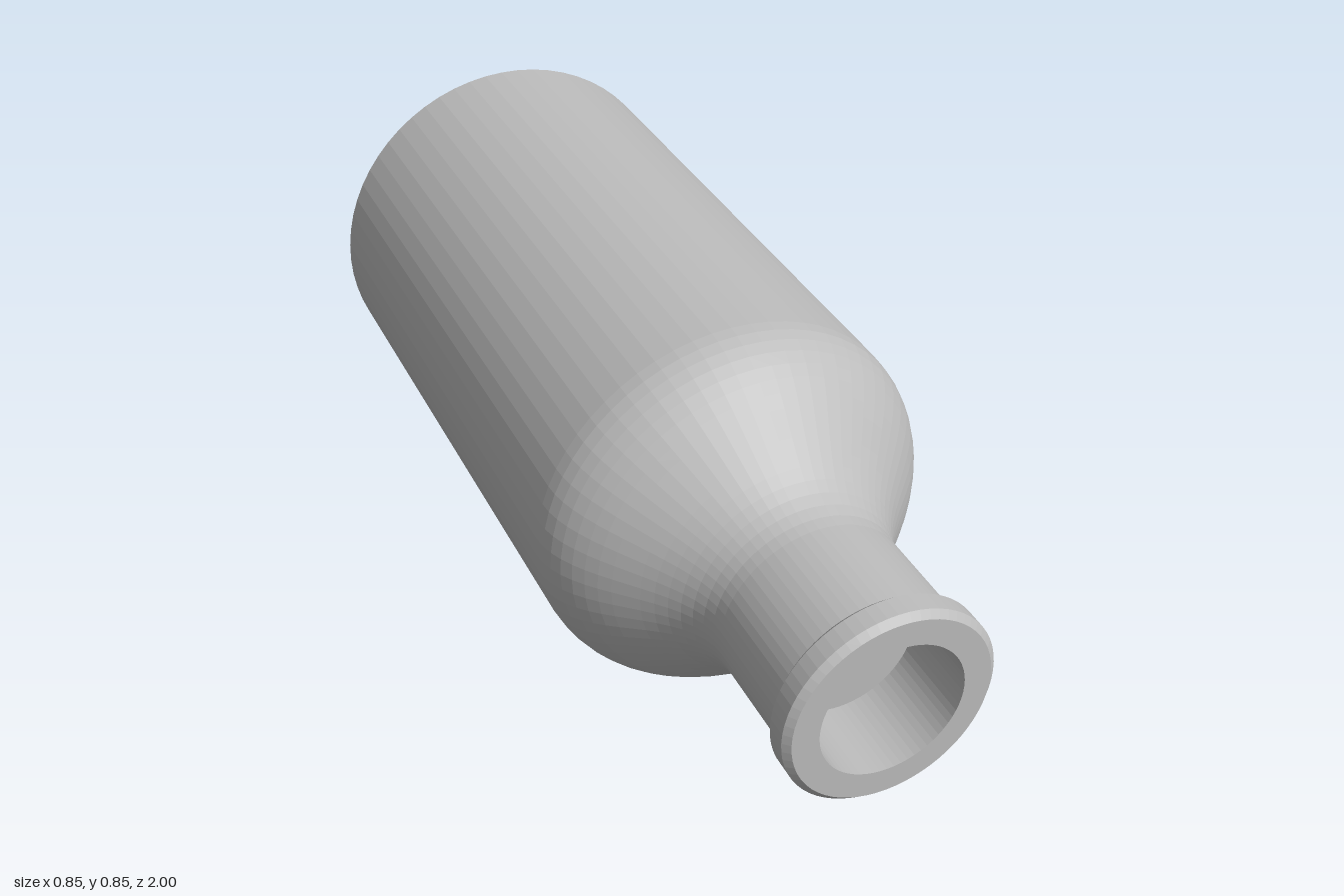
import * as THREE from 'three';

const SEGMENTS = 64;
const RADIUS = 0.427;

export function createModel() {
  const group = new THREE.Group();
  group.name = 'bottle';
  const grey = new THREE.MeshStandardMaterial({ color: 0xbcbcbc, flatShading: true });
  grey.name = 'grey';

  // Turns a [radius, z] profile around the bottle's lying axis
  function turned(name, profile) {
    const points = profile.map(([r, z]) => new THREE.Vector2(r, z));
    const geometry = new THREE.LatheGeometry(points, SEGMENTS);
    geometry.rotateX(Math.PI / 2);
    const mesh = new THREE.Mesh(geometry, grey);
    mesh.name = name;
    mesh.position.y = RADIUS;
    group.add(mesh);
  }

  // Flat base, chamfer and straight wall
  turned('body', [[0, -1], [0.377, -1], [RADIUS, -0.942], [RADIUS, 0.32]]);

  // S-curved shoulder from the wall to the neck
  const curve = new THREE.CubicBezierCurve(
    new THREE.Vector2(RADIUS, 0.32), new THREE.Vector2(RADIUS, 0.47),
    new THREE.Vector2(0.202, 0.55), new THREE.Vector2(0.202, 0.7));
  turned('shoulder', curve.getPoints(16).map((p) => [p.x, p.y]));

  turned('neck', [[0.202, 0.7], [0.202, 0.932]]);

  // Bevelled lip around the mouth
  turned('lip', [[0.202, 0.932], [0.212, 0.932], [0.223, 0.943],
    [0.223, 0.987], [0.209, 1], [0.152, 1]]);

  // Shallow blind hole in the mouth
  turned('mouthRecess', [[0.152, 1], [0.152, 0.82], [0, 0.82]]);

  return group;
}
